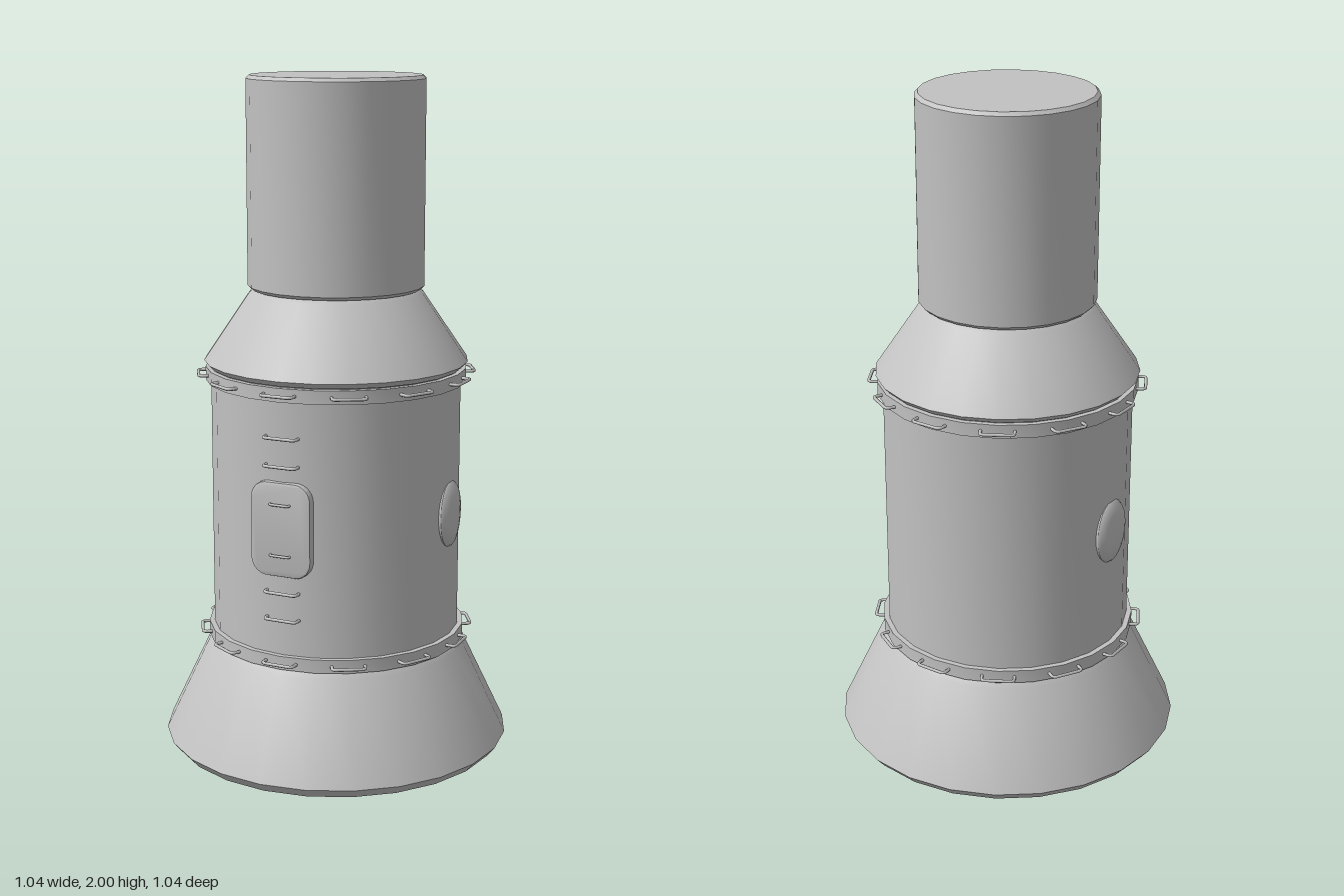
import * as THREE from 'three';
import { toCreasedNormals } from 'three/addons/utils/BufferGeometryUtils.js';

const SIDES = 24;

export function createModel() {
  const model = new THREE.Group();
  model.name = 'spaceModule';
  const hull = new THREE.MeshStandardMaterial({ color: 0xc2c2c2 });
  hull.name = 'hullGrey';

  function add(name, geometry, parent = model) {
    const mesh = new THREE.Mesh(geometry, hull);
    mesh.name = name;
    parent.add(mesh);
    return mesh;
  }

  // Turned part from [radius, height] pairs, with crisp bevel edges
  function turned(profile) {
    const points = profile.map(([r, y]) => new THREE.Vector2(r, y));
    return toCreasedNormals(new THREE.LatheGeometry(points, SIDES), 0.45);
  }

  // Flared base with a recessed underside
  add('flaredBase', turned([
    [0, 0.15], [0.2, 0.135], [0.4, 0.1], [0.45, 0], [0.495, 0],
    [0.52, 0.03], [0.387, 0.312], [0.372, 0.328], [0, 0.328],
  ]));

  // Main cabin
  add('cabin', turned([[0, 0.32], [0.37, 0.32], [0.37, 1.16], [0, 1.16]]));

  // Raised bands at both ends of the cabin
  for (const [name, y] of [['lowerBand', 0.35], ['upperBand', 1.137]]) {
    add(name, turned([
      [0.36, y - 0.02], [0.386, y - 0.02], [0.386, y + 0.02], [0.36, y + 0.02],
    ]));
  }

  // Tapered shoulder
  add('shoulder', turned([
    [0, 1.155], [0.375, 1.16], [0.39, 1.176], [0.255, 1.375], [0.24, 1.386], [0, 1.386],
  ]));

  // Upper cylinder
  add('upperCylinder', turned([
    [0, 1.384], [0.25, 1.386], [0.26, 1.396], [0.26, 1.99], [0.25, 2], [0, 2],
  ]));

  // Staple-shaped grab rail lying in the horizontal plane, opening towards -z
  function rail(halfWidth, depth, radius) {
    const corner = Math.min(0.012, halfWidth * 0.3);
    const v = (x, z) => new THREE.Vector3(x, 0, z);
    const path = new THREE.CurvePath();
    path.add(new THREE.LineCurve3(v(-halfWidth, -0.02), v(-halfWidth, depth - corner)));
    path.add(new THREE.QuadraticBezierCurve3(
      v(-halfWidth, depth - corner), v(-halfWidth, depth), v(-halfWidth + corner, depth)));
    path.add(new THREE.LineCurve3(v(-halfWidth + corner, depth), v(halfWidth - corner, depth)));
    path.add(new THREE.QuadraticBezierCurve3(
      v(halfWidth - corner, depth), v(halfWidth, depth), v(halfWidth, depth - corner)));
    path.add(new THREE.LineCurve3(v(halfWidth, depth - corner), v(halfWidth, -0.02)));
    return new THREE.TubeGeometry(path, 32, radius, 6);
  }

  // Twelve grab rails around each band
  const bandRail = rail(0.048, 0.024, 0.005);
  for (const y of [0.35, 1.137]) {
    const ring = new THREE.Group();
    ring.name = 'grabRailRing';
    model.add(ring);
    for (let i = 0; i < 12; i++) {
      const a = (i * Math.PI) / 6;
      const mesh = add('grabRail', bandRail, ring);
      mesh.position.set(Math.sin(a) * 0.383, y, Math.cos(a) * 0.383);
      mesh.rotation.y = a;
    }
  }

  // Ladder rungs above and below the hatch
  const rung = rail(0.05, 0.02, 0.005);
  for (const y of [0.478, 0.558, 0.93, 1.012]) {
    add('ladderRung', rung).position.set(0, y, 0.367);
  }

  // Front hatch: rounded plate with a softened rim
  const w = 0.088, h = 0.133, r = 0.045;
  const outline = new THREE.Shape();
  outline.moveTo(-w + r, -h);
  outline.absarc(w - r, -h + r, r, -Math.PI / 2, 0);
  outline.absarc(w - r, h - r, r, 0, Math.PI / 2);
  outline.absarc(-w + r, h - r, r, Math.PI / 2, Math.PI);
  outline.absarc(-w + r, -h + r, r, Math.PI, Math.PI * 1.5);
  const plate = new THREE.ExtrudeGeometry(outline, {
    depth: 0.03, bevelEnabled: true, bevelSize: 0.006, bevelThickness: 0.006,
    bevelSegments: 2, curveSegments: 6,
  });
  add('hatch', toCreasedNormals(plate, 0.5)).position.set(0, 0.745, 0.344);

  // Hatch handles
  const hatchHandle = rail(0.03, 0.01, 0.004);
  for (const y of [0.67, 0.82]) add('hatchHandle', hatchHandle).position.set(0, y, 0.379);

  // Domed oval portholes on both sides
  const dome = turned([[1, 0], [1, 0.022], [0.93, 0.03], [0.6, 0.036], [0, 0.039]]);
  dome.scale(0.1, 1, 0.074);
  for (const side of [-1, 1]) {
    const porthole = add(side > 0 ? 'leftPorthole' : 'rightPorthole', dome);
    porthole.rotation.z = -side * Math.PI / 2;
    porthole.position.set(side * 0.345, 0.74, 0);
  }

  return model;
}
